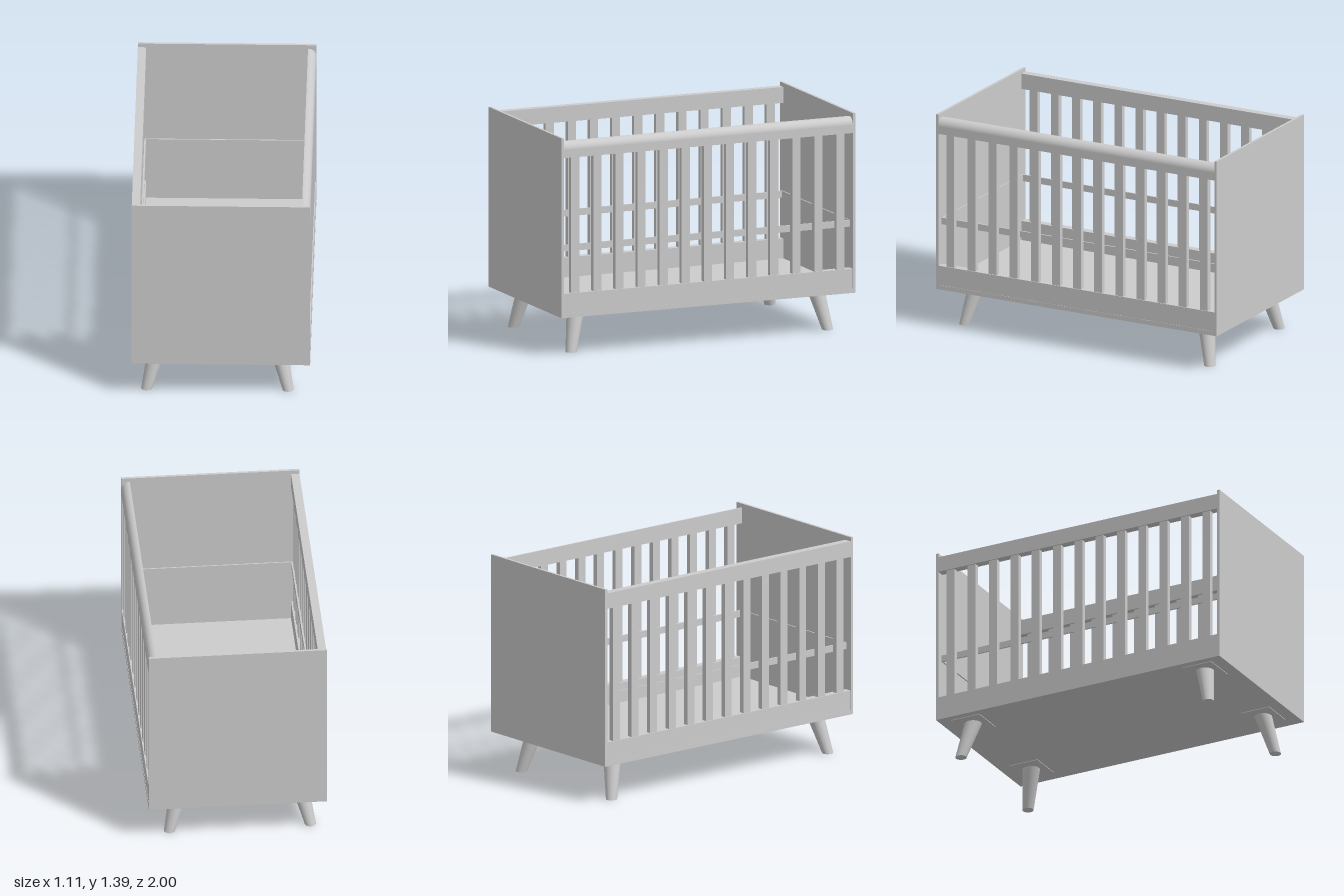
import * as THREE from 'three';

const material = new THREE.MeshStandardMaterial({ color: 0xcccccc });
const BASE = 0.247, TOP = 1.386, HALF_W = 0.555, PANEL = 0.017;
const INNER = 1 - PANEL;          // inside face of the end panels
const RAIL_IN = 0.503;            // inner face of the side rails

function add(parent, name, geometry) {
  const mesh = new THREE.Mesh(geometry, material);
  mesh.name = name;
  parent.add(mesh);
  return mesh;
}

// Box given by its extents on each axis
function box(parent, name, x0, x1, y0, y1, z0, z1) {
  const mesh = add(parent, name, new THREE.BoxGeometry(x1 - x0, y1 - y0, z1 - z0));
  mesh.position.set((x0 + x1) / 2, (y0 + y1) / 2, (z0 + z1) / 2);
  return mesh;
}

// Top rail with a quarter-round outer edge, extruded along z
function roundedRail(parent, y0, y1) {
  const r = HALF_W - RAIL_IN - 0.002;
  const shape = new THREE.Shape();
  shape.moveTo(RAIL_IN, y0);
  shape.lineTo(HALF_W, y0);
  shape.lineTo(HALF_W, y1 - r);
  shape.absarc(HALF_W - r, y1 - r, r, 0, Math.PI / 2, false);
  shape.lineTo(RAIL_IN, y1);
  shape.closePath();
  const rail = add(parent, 'roundedTopRail', new THREE.ExtrudeGeometry(shape,
    { depth: 2 * INNER, bevelEnabled: false, curveSegments: 16 }));
  rail.position.z = -INNER;
}

// Slatted side; s = +1 or -1 picks the side
function slattedSide(s) {
  const side = new THREE.Group();
  side.name = s > 0 ? 'leftSide' : 'rightSide';
  const span = (a, b) => (s > 0 ? [a, b] : [-b, -a]);
  box(side, 'bottomRail', ...span(RAIL_IN, HALF_W - 0.002), 0.275, 0.4, -INNER, INNER);
  if (s > 0) roundedRail(side, 1.26, 1.36);
  else box(side, 'topRail', ...span(RAIL_IN, HALF_W), 1.26, 1.36, -INNER, INNER);
  for (let i = -6; i <= 6; i++) {
    const z = i * 0.1505;
    box(side, 'slat', ...span(0.514, 0.547), 0.4, 1.26, z - 0.028, z + 0.028);
  }
  return side;
}

// Splayed tapered leg with horizontal ends, and its mounting plate
function leg(topX, footX, s) {
  const group = new THREE.Group();
  group.name = 'leg';
  const topZ = 0.818 * s, footZ = 0.873 * s;
  const geometry = new THREE.CylinderGeometry(0.055, 0.035, BASE, 32);
  geometry.translate(0, BASE / 2, 0);
  const shear = new THREE.Matrix4().set(
    1, (topX - footX) / BASE, 0, footX,
    0, 1, 0, 0,
    0, (topZ - footZ) / BASE, 1, footZ,
    0, 0, 0, 1);
  geometry.applyMatrix4(shear);
  geometry.computeVertexNormals();
  add(group, 'taperedLeg', geometry);
  box(group, 'mountingPlate', topX - 0.107, topX + 0.107, BASE - 0.004, BASE + 0.002,
    topZ - 0.1, topZ + 0.1);
  return group;
}

export function createModel() {
  const crib = new THREE.Group();
  crib.name = 'crib';

  // Solid end panels and the floor between them
  box(crib, 'frontPanel', -HALF_W, HALF_W, BASE, TOP, INNER, 1);
  box(crib, 'backPanel', -HALF_W, HALF_W, BASE, TOP, -1, -INNER);
  box(crib, 'floor', -HALF_W, HALF_W, BASE, 0.275, -INNER, INNER);

  for (const s of [1, -1]) crib.add(slattedSide(s));

  // Thin open frame that carries the mattress
  const frame = new THREE.Group();
  frame.name = 'mattressFrame';
  for (const s of [1, -1]) {
    const x = s * 0.509, z = s * (INNER - 0.004);
    box(frame, 'frameSide', x - 0.005, x + 0.005, 0.66, 0.702, -INNER, INNER);
    box(frame, 'frameEnd', -0.504, 0.504, 0.66, 0.702, z - 0.004, z + 0.004);
  }
  crib.add(frame);

  // Four legs
  for (const s of [1, -1]) {
    crib.add(leg(0.357, 0.415, s));
    crib.add(leg(-0.403, -0.463, s));
  }
  return crib;
}
